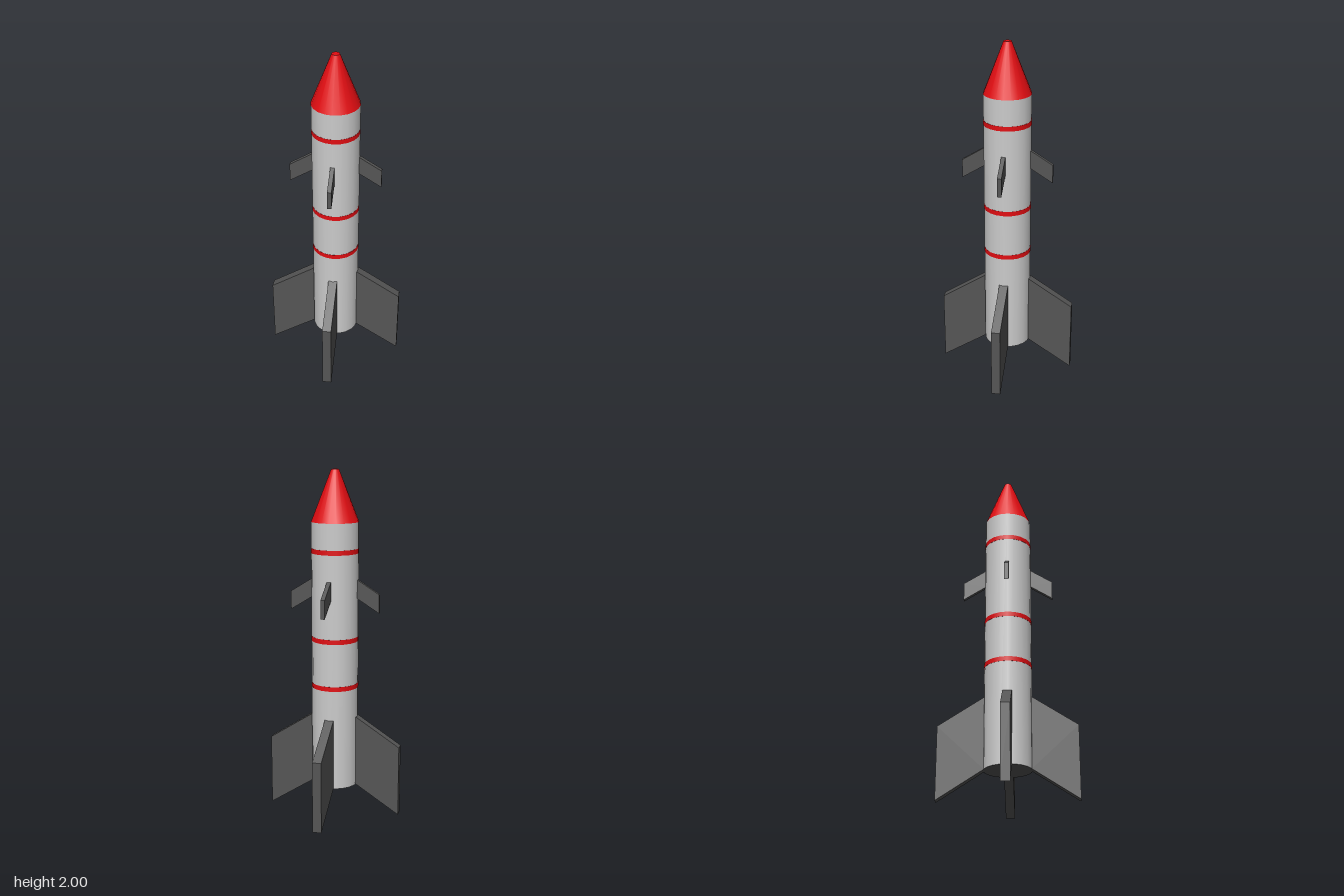
import * as THREE from 'three';

const SIDES = 20;
const RADIUS = 0.135;

const material = (color) => new THREE.MeshStandardMaterial({ color });

export function createModel() {
  const rocket = new THREE.Group();
  rocket.name = 'rocket';
  const grey = material(0xcccccc);
  const red = material(0xe30d12);
  const dark = material(0x555555);

  const add = (name, geometry, mat, y = 0) => {
    const mesh = new THREE.Mesh(geometry, mat);
    mesh.name = name;
    mesh.position.y = y;
    rocket.add(mesh);
    return mesh;
  };

  // A tapered or straight round section between two heights
  const section = (name, rTop, rBottom, y0, y1, mat, open = false) =>
    add(name, new THREE.CylinderGeometry(rTop, rBottom, y1 - y0, SIDES, 1, open), mat, (y0 + y1) / 2);

  // Body, its dark underside and the blunt nose cone
  section('body', RADIUS, RADIUS, 0.165, 1.71, grey, true);
  const base = add('base', new THREE.CircleGeometry(RADIUS, SIDES), dark, 0.165);
  base.rotation.x = Math.PI / 2;
  section('noseCone', 0.022, RADIUS, 1.71, 2, red);

  // Painted bands
  for (const y of [0.755, 1.03, 1.535]) {
    section('band', RADIUS + 0.001, RADIUS + 0.001, y, y + 0.027, red);
  }

  // Four swept fins around the body, from a side outline of [radius, height]
  const finSet = (name, outline, thickness) => {
    const shape = new THREE.Shape(outline.map(([x, y]) => new THREE.Vector2(x, y)));
    const geometry = new THREE.ExtrudeGeometry(shape, { depth: thickness, bevelEnabled: false });
    geometry.translate(0, 0, -thickness / 2);
    for (let i = 0; i < 4; i++) {
      add(name, geometry, dark).rotation.y = (i * Math.PI) / 2;
    }
  };
  finSet('tailFin', [[0.13, 0.168], [0.39, 0], [0.39, 0.415], [0.13, 0.583]], 0.052);
  finSet('upperFin', [[0.13, 1.281], [0.26, 1.2], [0.26, 1.307], [0.13, 1.388]], 0.024);

  return rocket;
}
